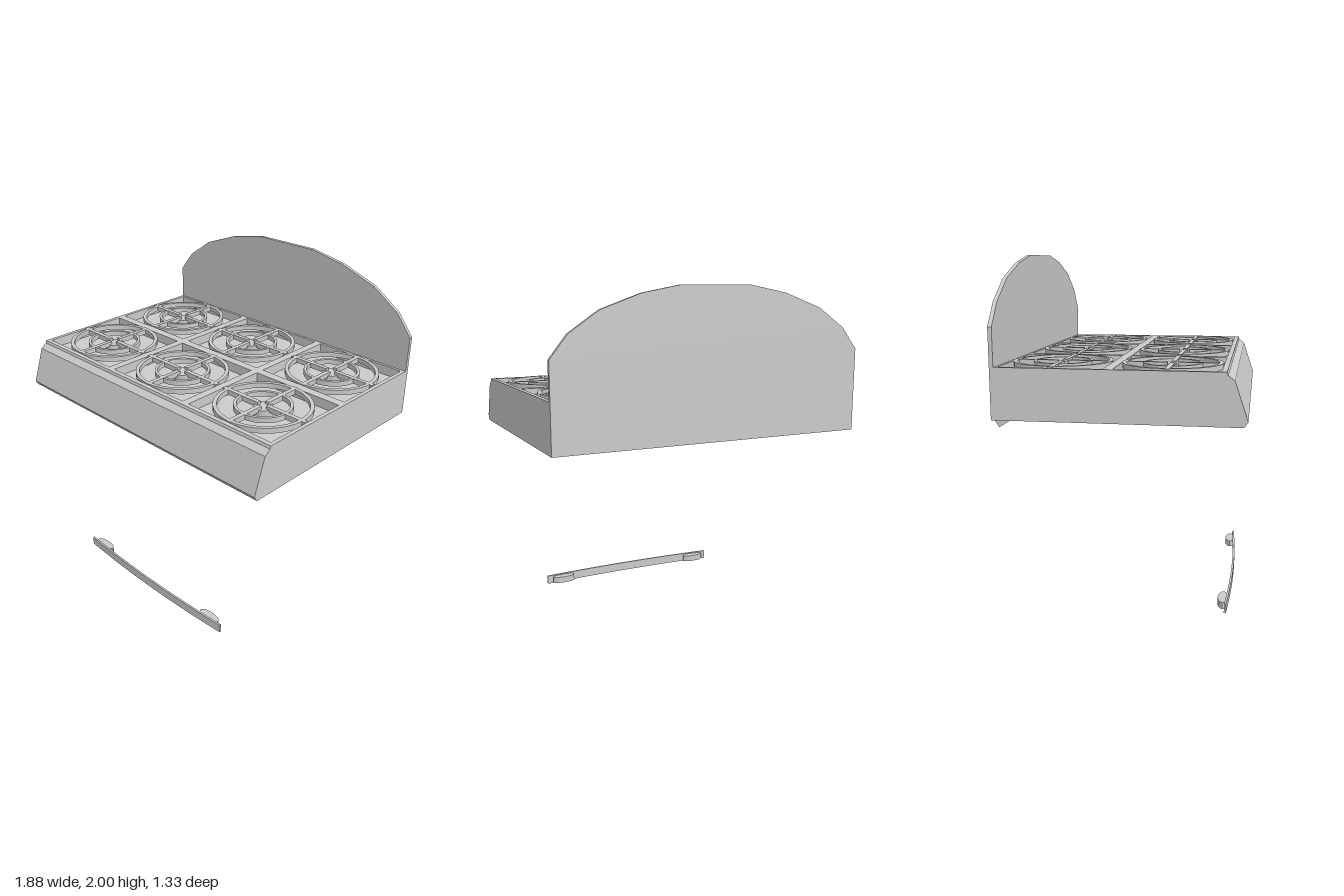
import * as THREE from 'three';

const mat = new THREE.MeshStandardMaterial({ color: 0xcccccc, flatShading: true });
const sheet = new THREE.MeshStandardMaterial({ color: 0xcccccc, flatShading: true, side: THREE.DoubleSide });

const HALF = 0.94, DECK = 1.428, TOP = 1.434, PAN = 1.372;
const CELL_W = 0.58, CELL_D = 0.55;

function add(parent, name, geometry, material = mat) {
  const mesh = new THREE.Mesh(geometry, material);
  mesh.name = name;
  parent.add(mesh);
  return mesh;
}

const shapeOf = (pts) => new THREE.Shape(pts.map(([x, y]) => new THREE.Vector2(x, y)));

function rectPoints(cx, cy, w, h) {
  return [[cx - w / 2, cy - h / 2], [cx + w / 2, cy - h / 2], [cx + w / 2, cy + h / 2], [cx - w / 2, cy + h / 2]];
}

// Flat-topped ring whose top sits at y = 0
function ring(outer, inner, depth) {
  const shape = new THREE.Shape().absarc(0, 0, outer, 0, Math.PI * 2);
  shape.holes.push(new THREE.Path().absarc(0, 0, inner, 0, Math.PI * 2, true));
  const g = new THREE.ExtrudeGeometry(shape, { depth, bevelEnabled: false, curveSegments: 24 });
  return g.rotateX(-Math.PI / 2).translate(0, -depth, 0);
}

// One well with its grate and burner
function createBurner(x, z) {
  const g = new THREE.Group();
  g.name = 'burner';
  g.position.set(x, 0, z);

  add(g, 'panFloor', new THREE.PlaneGeometry(CELL_W, CELL_D).rotateX(-Math.PI / 2).translate(0, PAN, 0), sheet);
  const wallH = DECK - PAN;
  for (const s of [-1, 1]) {
    add(g, 'panWall', new THREE.PlaneGeometry(CELL_W, wallH).translate(0, PAN + wallH / 2, s * CELL_D / 2), sheet);
    add(g, 'panWall', new THREE.PlaneGeometry(CELL_D, wallH).rotateY(Math.PI / 2)
      .translate(s * CELL_W / 2, PAN + wallH / 2, 0), sheet);
  }

  add(g, 'outerGrateRing', ring(0.272, 0.25, 0.03)).position.y = TOP;
  add(g, 'innerGrateRing', ring(0.162, 0.145, 0.03)).position.y = TOP - 0.001;
  for (const s of [-1, 1]) {
    const lenX = CELL_W / 2 - 0.03, lenZ = CELL_D / 2 - 0.03;
    add(g, 'grateBar', new THREE.BoxGeometry(lenX, 0.03, 0.026)).position.set(s * (0.03 + lenX / 2), TOP - 0.015, 0);
    add(g, 'grateBar', new THREE.BoxGeometry(0.026, 0.03, lenZ)).position.set(0, TOP - 0.015, s * (0.03 + lenZ / 2));
  }
  add(g, 'burnerCap', new THREE.CylinderGeometry(0.055, 0.055, 0.045, 20)).position.y = PAN + 0.0225;
  return g;
}

// Curved bar on two oval mounts
function createHandle() {
  const g = new THREE.Group();
  g.name = 'handle';
  const n = 12, outer = [], inner = [];
  for (let i = 0; i <= n; i++) {
    const x = -0.61 + (1.22 * i) / n;
    const z = 0.585 - 0.022 * (x / 0.61) ** 2;
    outer.push([x, -z]);
    inner.unshift([x, -z + 0.012]);
  }
  const bar = new THREE.ExtrudeGeometry(shapeOf([...outer, ...inner]), { depth: 0.055, bevelEnabled: false });
  add(g, 'handleBar', bar.rotateX(-Math.PI / 2));
  for (const s of [-1, 1]) {
    add(g, 'handleMount', new THREE.CylinderGeometry(1, 1, 0.04, 20).scale(0.075, 1, 0.03))
      .position.set(s * 0.5, 0.0275, 0.54);
  }
  return g;
}

export function createModel() {
  const model = new THREE.Group();
  model.name = 'cooktop';

  // Front skin folded along the side profile, listed as [z, y] from the top
  const profile = [[0.555, DECK], [0.56, 1.412], [0.595, 1.385], [0.665, 1.18], [0.645, 1.15]];
  const front = new THREE.PlaneGeometry(HALF * 2, 1, 1, profile.length - 1);
  const pos = front.attributes.position;
  profile.forEach(([z, y], row) => {
    for (let c = 0; c < 2; c++) pos.setXYZ(row * 2 + c, c ? HALF : -HALF, y, z);
  });
  front.computeVertexNormals();
  add(model, 'frontPanel', front, sheet);

  // Side panels of the open-bottomed body
  const side = shapeOf([...profile, [-0.66, 1.15], [-0.66, DECK]]);
  for (const s of [-1, 1]) {
    add(model, 'sidePanel', new THREE.ShapeGeometry(side).rotateY(-Math.PI / 2).translate(s * HALF, 0, 0), sheet);
  }

  // Deck with six rectangular openings, and the burners that fill them
  const deck = shapeOf(rectPoints(0, 0.0425, HALF * 2, 1.195));
  for (const x of [-0.627, 0, 0.627]) {
    for (const z of [-0.349, 0.253]) {
      const hole = rectPoints(x, -z, CELL_W, CELL_D).reverse();
      deck.holes.push(new THREE.Path(hole.map(([a, b]) => new THREE.Vector2(a, b))));
      model.add(createBurner(x, z));
    }
  }
  add(model, 'deck', new THREE.ShapeGeometry(deck).rotateX(-Math.PI / 2).translate(0, DECK, 0), sheet);

  // Arched backguard
  const half = [[HALF, 1.635], [0.84, 1.76], [0.67, 1.875], [0.44, 1.957], [0.21, 2]];
  const arch = [...half, ...half.map(([x, y]) => [-x, y]).reverse()];
  const guard = shapeOf([[-HALF, 1.15], [HALF, 1.15], ...arch]);
  add(model, 'backguard', new THREE.ExtrudeGeometry(guard, { depth: 0.022, bevelEnabled: false }).translate(0, 0, -0.665));

  // One-sided skirt below the backguard's front face
  const skirt = shapeOf([[-0.88, 1.1], [0.88, 1.1], [HALF, 1.15], [-HALF, 1.15]]);
  add(model, 'backSkirt', new THREE.ShapeGeometry(skirt).translate(0, 0, -0.643));

  model.add(createHandle());
  return model;
}
